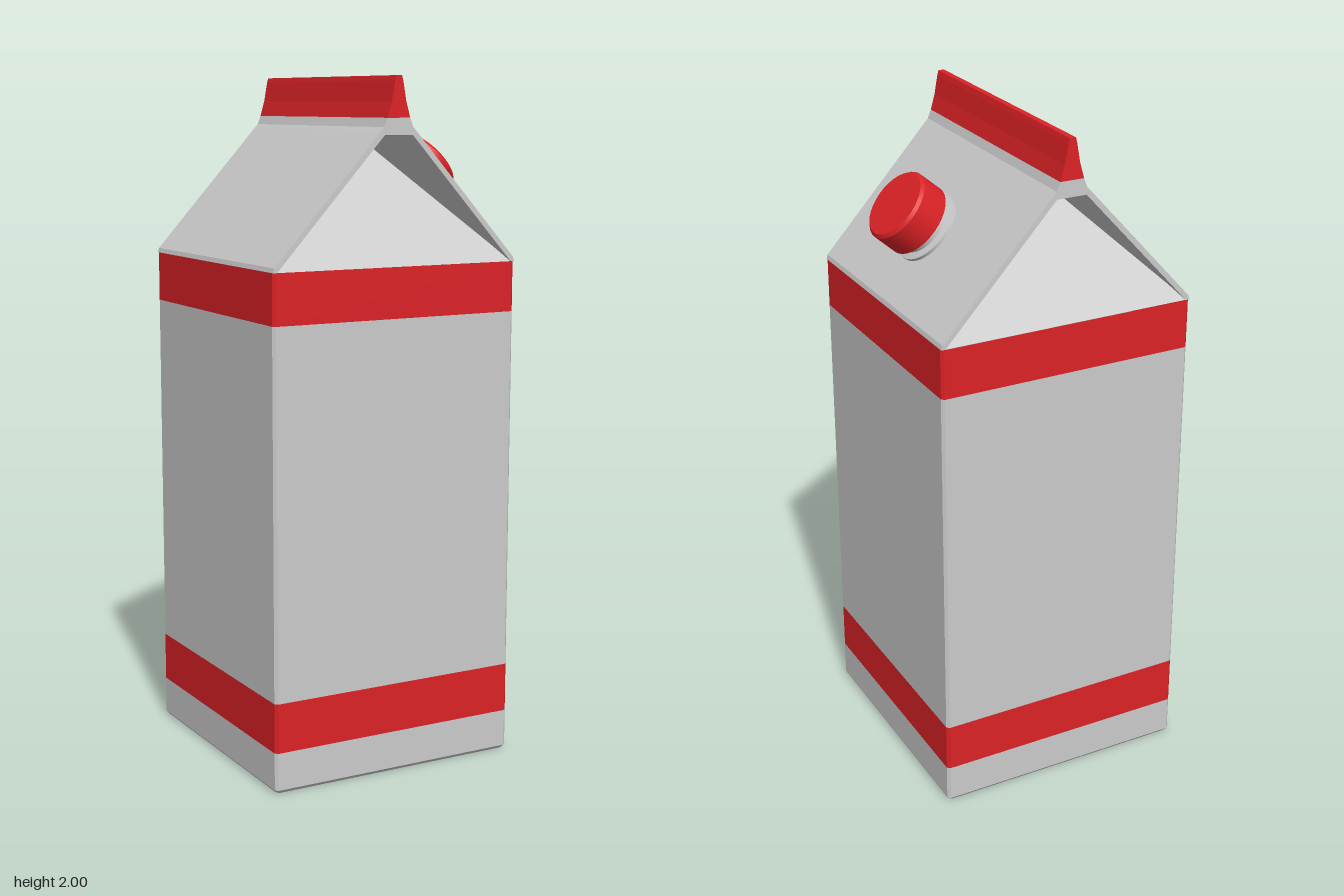
import * as THREE from 'three';

const HALF = 0.39; // half width of the carton
const EAVE = 1.475; // height where the roof begins
const grey = new THREE.MeshStandardMaterial({ color: 0xcccccc, side: THREE.DoubleSide });
const red = new THREE.MeshStandardMaterial({ color: 0xdd2226, side: THREE.DoubleSide });

function add(parent, name, geometry, material) {
  const mesh = new THREE.Mesh(geometry, material);
  mesh.name = name;
  parent.add(mesh);
  return mesh;
}

// Flat-shaded quads and triangles, each given by its corner points
function panels(faces) {
  const pos = [];
  for (const f of faces)
    for (let i = 1; i < f.length - 1; i++) pos.push(...f[0], ...f[i], ...f[i + 1]);
  const g = new THREE.BufferGeometry();
  g.setAttribute('position', new THREE.Float32BufferAttribute(pos, 3));
  g.computeVertexNormals();
  return g;
}

// Square loop with small chamfered corners, counter-clockwise seen from above
function squareLoop(y, h) {
  const c = h - 0.008;
  return [[h, -c], [c, -h], [-c, -h], [-h, -c], [-h, c], [-c, h], [c, h], [h, c]]
    .map(([x, z]) => [x, y, z]);
}

// Open sleeve through [height, half width] levels
function sleeve(levels) {
  const faces = [];
  for (let k = 0; k < levels.length - 1; k++) {
    const a = squareLoop(...levels[k]), b = squareLoop(...levels[k + 1]);
    a.forEach((p, i) => {
      const j = (i + 1) % a.length;
      faces.push([p, a[j], b[j], b[i]]);
    });
  }
  return faces;
}

// Closed profile mirrored in x and extruded over the full depth
function ridgeExtrusion(half) {
  const mirrored = half.map(([x, y]) => [-x, y]).reverse();
  const shape = new THREE.Shape([...half, ...mirrored].map(([x, y]) => new THREE.Vector2(x, y)));
  const g = new THREE.ExtrudeGeometry(shape, { depth: 2 * HALF, bevelEnabled: false });
  return g.translate(0, 0, -HALF);
}

function lathe(points) {
  // Doubled points keep the edges of the turned profile sharp
  const pts = points.flatMap(([x, y], i) => {
    const p = new THREE.Vector2(x, y);
    return i > 0 && i < points.length - 1 ? [p, p.clone()] : [p];
  });
  return new THREE.LatheGeometry(pts, 32);
}

export function createModel() {
  const model = new THREE.Group();
  model.name = 'carton';
  const box = new THREE.Group();
  box.name = 'cartonBox';
  box.position.x = -0.01;
  model.add(box);

  // Body sleeves with two coloured bands
  const base = sleeve([[0, HALF - 0.008], [0.01, HALF], [0.12, HALF]]);
  base.push(squareLoop(0, HALF - 0.008).reverse());
  add(box, 'base', panels(base), grey);
  add(box, 'lowerBand', panels(sleeve([[0.12, HALF], [0.265, HALF]])), red);
  add(box, 'body', panels(sleeve([[0.265, HALF], [1.33, HALF]])), grey);
  add(box, 'upperBand', panels(sleeve([[1.33, HALF], [EAVE, HALF]])), red);

  // Thin sloping roof running up into a narrow collar
  add(box, 'roof', ridgeExtrusion([
    [0.045, 1.838], [0.378, EAVE], [HALF, EAVE], [HALF - 0.004, 1.488],
    [0.06, 1.845], [0.046, 1.86], [0.036, 1.885],
  ]), grey);

  // Pinched fin along the ridge
  add(box, 'ridgeFin', ridgeExtrusion([
    [0.036, 1.885], [0.023, 1.93], [0.013, 1.985], [0.009, 2],
  ]), red);

  // Folded-in gable at both ends: sloping panel, two wings and the ledge under the ridge
  const corner = s => [s * 0.382, EAVE, 0.388];
  const inner = s => [s * 0.03, 1.825, 0.12];
  const outer = s => [s * 0.045, 1.838, 0.388];
  const gable = panels([
    [corner(-1), corner(1), inner(1), inner(-1)],
    [corner(1), outer(1), inner(1)],
    [corner(-1), inner(-1), outer(-1)],
    [inner(-1), inner(1), outer(1), outer(-1)],
  ]);
  add(box, 'frontGable', gable, grey);
  add(box, 'backGable', gable, grey).rotation.y = Math.PI;

  // Spout and screw cap standing square to the left roof slope
  const spout = new THREE.Group();
  spout.name = 'spout';
  spout.position.set(0.214, 1.658, 0);
  spout.rotation.z = -Math.atan2(0.754, 0.657);
  model.add(spout);
  add(spout, 'neck', lathe([
    [0.085, -0.01], [0.085, 0.018], [0.108, 0.02], [0.108, 0.03], [0.088, 0.034], [0.088, 0.07],
  ]), grey);
  add(spout, 'cap', lathe([
    [0, 0.06], [0.108, 0.06], [0.107, 0.142], [0.099, 0.151], [0, 0.151],
  ]), red);

  return model;
}
